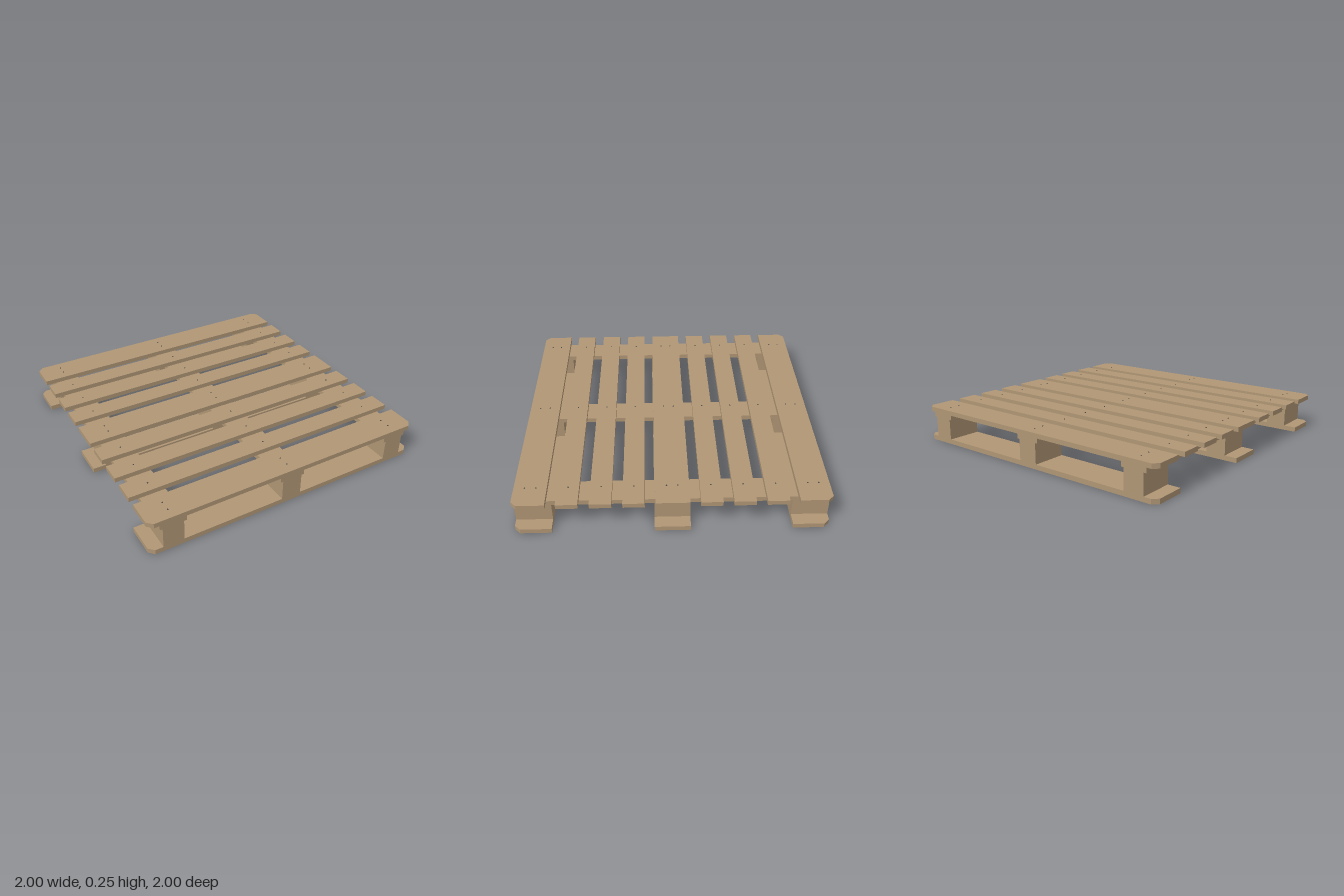
import * as THREE from 'three';

export function createModel() {
  const model = new THREE.Group();
  model.name = 'pallet';

  const wood = new THREE.MeshStandardMaterial({ color: 0xb09675 });
  wood.name = 'wood';
  const steel = new THREE.MeshStandardMaterial({ color: 0x4a4a4c });
  steel.name = 'nail steel';

  // Heights of the layers
  const Y0 = 0.003, Y1 = 0.036, Y2 = 0.178, Y3 = 0.211, Y4 = 0.243;
  const columns = [-0.842, 0, 0.842];

  const box = (name, x0, x1, y0, y1, z0, z1) => {
    const mesh = new THREE.Mesh(new THREE.BoxGeometry(x1 - x0, y1 - y0, z1 - z0), wood);
    mesh.position.set((x0 + x1) / 2, (y0 + y1) / 2, (z0 + z1) / 2);
    mesh.name = name;
    model.add(mesh);
  };

  // Edge board with its two outer corners cut off; side is the sign of z
  const edgeBoard = (name, side, inner, y0, y1) => {
    const c = 0.035;
    const shape = new THREE.Shape([
      [-1, inner], [1, inner], [1, 1 - c], [1 - c, 1], [-1 + c, 1], [-1, 1 - c],
    ].map(([x, z]) => new THREE.Vector2(x, z)));
    const geometry = new THREE.ExtrudeGeometry(shape, { depth: y1 - y0, bevelEnabled: false });
    geometry.rotateX(-Math.PI / 2);
    if (side > 0) geometry.rotateY(Math.PI);
    const mesh = new THREE.Mesh(geometry, wood);
    mesh.position.y = y0;
    mesh.name = name;
    model.add(mesh);
  };

  // Nail heads stand slightly proud of the boards
  const nailGeometry = new THREE.CylinderGeometry(0.005, 0.005, 0.006, 10);
  const nails = (name, y, zs) => {
    for (const x of columns) {
      for (const z of zs) {
        const nail = new THREE.Mesh(nailGeometry, steel);
        nail.position.set(x, y, z);
        nail.name = name;
        model.add(nail);
      }
    }
  };

  // Top deck: wide edge and centre boards with narrow slats between
  box('topCentreBoard', -1, 1, Y3, Y4, -0.108, 0.108);
  nails('topNail', Y4 - 0.001, [-0.036, 0.036]);
  for (const s of [-1, 1]) {
    edgeBoard('topEdgeBoard', s, 0.79, Y3, Y4);
    nails('topNail', Y4 - 0.001, [s * 0.86, s * 0.93]);
    for (const z of [0.243, 0.449, 0.656]) {
      box('topSlat', -1, 1, Y3, Y4, s * z - 0.069, s * z + 0.069);
      nails('topNail', Y4 - 0.001, [s * z]);
    }
  }

  // Stringers and the blocks beneath them
  for (const x of columns) {
    box('stringer', x - 0.088, x + 0.088, Y2, Y3, -1, 1);
    for (const z of [-0.882, 0, 0.882]) {
      const h = z === 0 ? 0.115 : 0.118;
      box('block', x - 0.07, x + 0.07, Y1, Y2, z - h, z + h);
    }
  }

  // Bottom boards
  box('bottomCentreBoard', -1, 1, Y0, Y1, -0.115, 0.115);
  for (const s of [-1, 1]) edgeBoard('bottomEdgeBoard', s, 0.764, Y0, Y1);
  for (const z of [-0.88, 0, 0.88]) nails('bottomNail', Y0, [z - 0.058, z, z + 0.058]);

  return model;
}
